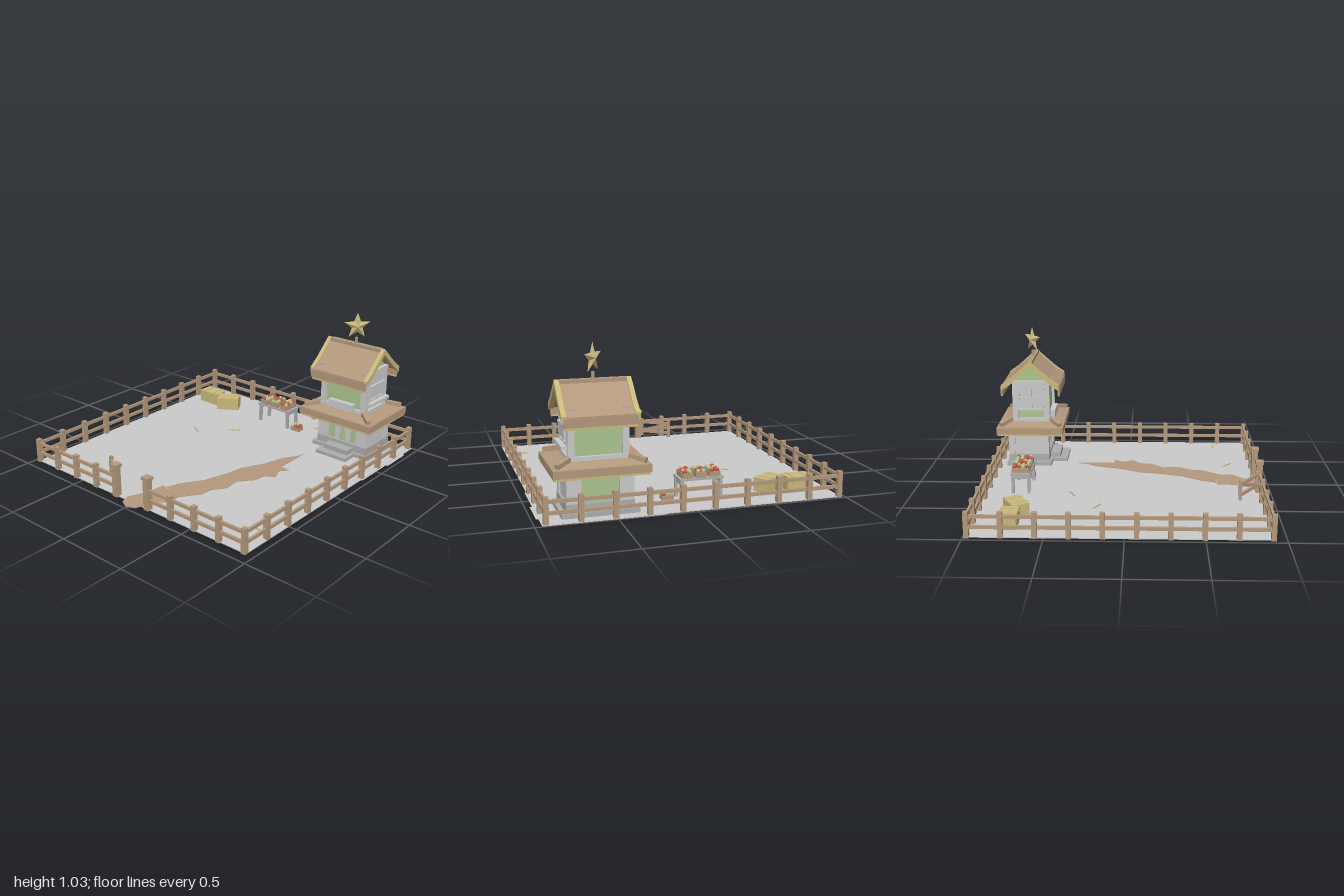
import * as THREE from 'three';

const mat = (name, color) => {
  const m = new THREE.MeshStandardMaterial({ color, flatShading: true });
  m.name = name;
  return m;
};

export function createModel() {
  const brown = mat('brown wood', 0xb3987c);
  const yellow = mat('straw yellow', 0xc9b97c);
  const green = mat('pale green', 0xabc58e);
  const grey = mat('light grey', 0xcacaca);
  const stone = mat('stone grey', 0xadadad);
  const red = mat('apple red', 0xc0564a);
  const root = new THREE.Group();

  const add = (parent, name, geo, material) => {
    const m = new THREE.Mesh(geo, material);
    m.name = name;
    parent.add(m);
    return m;
  };
  const group = (parent, name) => {
    const g = new THREE.Group();
    g.name = name;
    parent.add(g);
    return g;
  };
  // box given by its min and max on each axis
  const box = (p, name, material, x0, x1, y0, y1, z0, z1) => {
    const m = add(p, name, new THREE.BoxGeometry(x1 - x0, y1 - y0, z1 - z0), material);
    m.position.set((x0 + x1) / 2, (y0 + y1) / 2, (z0 + z1) / 2);
    return m;
  };
  // bar of w by h between two points
  const beam = (p, name, material, a, b, w, h) => {
    const A = new THREE.Vector3(...a), B = new THREE.Vector3(...b);
    const m = new THREE.Mesh(new THREE.BoxGeometry(w, h, A.distanceTo(B)), material);
    m.name = name;
    m.position.copy(A).add(B).multiplyScalar(0.5);
    m.lookAt(B);
    p.add(m);
    return m;
  };
  const polygon = pts => new THREE.Shape(pts.map(q => new THREE.Vector2(...q)));
  const extrude = (pts, depth) => new THREE.ExtrudeGeometry(polygon(pts), { depth, bevelEnabled: false });

  // Ground
  box(root, 'ground', grey, -0.965, 0.945, 0, 0.006, -0.985, 0.92);
  box(root, 'groundEdgeBack', grey, 0.2, 0.955, 0, 0.004, -0.995, -0.98);
  box(root, 'groundEdgeSide', grey, 0.94, 0.955, 0, 0.004, -0.99, -0.32);
  box(root, 'groundEdgeOuter', grey, 0.95, 0.97, 0, 0.004, -0.86, -0.63);

  // Winding dirt path
  const path = [[0.41, -0.39], [0.4, -0.33], [0.34, -0.24], [0.295, -0.08], [0.215, 0.08], [0.195, 0.2], [0.14, 0.39],
    [0.045, 0.54], [0.02, 0.62], [-0.02, 0.65], [-0.03, 0.76], [-0.085, 0.9], [-0.06, 0.96], [0, 0.99], [0.06, 0.96],
    [0.08, 0.9], [0.1, 0.83], [0.18, 0.76], [0.17, 0.68], [0.26, 0.55], [0.27, 0.46], [0.33, 0.38], [0.32, 0.26],
    [0.4, 0.16], [0.41, 0.08], [0.48, 0.03], [0.44, -0.05], [0.49, -0.11], [0.415, -0.115]];
  const pathGeo = extrude(path, 0.008);
  pathGeo.rotateX(Math.PI / 2);
  add(root, 'path', pathGeo, brown).position.y = 0.01;

  // Fence runs: square posts with two rails
  const fence = group(root, 'fence');
  const run = (x0, z0, x1, z1, n, skipFirst, skipLast) => {
    for (let i = skipFirst; i <= n - skipLast; i++) {
      const x = x0 + (x1 - x0) * i / n, z = z0 + (z1 - z0) * i / n;
      box(fence, 'fencePost', brown, x - 0.016, x + 0.016, 0, 0.172, z - 0.016, z + 0.016);
    }
    for (const y of [0.07, 0.14]) beam(fence, 'fenceRail', brown, [x0, y, z0], [x1, y, z1], 0.016, 0.022);
  };
  run(-0.96, -0.975, 0.93, -0.975, 9, 0, 0);
  run(-0.96, -0.975, -0.96, 0.915, 9, 1, 0);
  run(0.93, -0.975, 0.93, 0.915, 9, 1, 0);
  run(-0.96, 0.915, -0.16, 0.915, 4, 1, 1);
  run(0.13, 0.915, 0.93, 0.915, 4, 1, 1);
  for (const x of [-0.16, 0.13]) {
    box(fence, 'gatePost', brown, x - 0.021, x + 0.021, 0, 0.215, 0.894, 0.936);
    box(fence, 'gatePostCap', brown, x - 0.028, x + 0.028, 0.215, 0.235, 0.887, 0.943);
  }
  // Open gate
  const gate = group(root, 'gate');
  const gp = (t, y) => [-0.175 - 0.205 * t, y, 0.905 - 0.145 * t];
  for (const y of [0.065, 0.14]) beam(gate, 'gateRail', brown, gp(0, y), gp(1, y), 0.016, 0.022);
  beam(gate, 'gateBrace', brown, gp(0.05, 0.07), gp(0.95, 0.135), 0.012, 0.018);
  for (const t of [0.06, 0.96]) {
    const [x, , z] = gp(t, 0);
    box(gate, 'gateUpright', brown, x - 0.011, x + 0.011, 0.03, 0.168, z - 0.011, z + 0.011);
  }

  // Loose straws and hay bales
  for (const [x0, z0, x1, z1] of [[0.21, -0.82, 0.3, -0.79], [-0.28, -0.36, -0.2, -0.405], [-0.505, -0.22, -0.425, -0.175],
    [-0.02, 0.635, 0.07, 0.655], [0.345, 0.71, 0.415, 0.77], [0.775, 0.655, 0.87, 0.67]])
    beam(root, 'straw', yellow, [x0, 0.013, z0], [x1, 0.013, z1], 0.01, 0.006);
  const bale = (x, z, turn) => {
    const g = group(root, 'hayBale');
    box(g, 'bale', yellow, -0.087, 0.087, 0, 0.097, -0.058, 0.058);
    for (const s of [-0.045, 0.045]) box(g, 'baleTie', yellow, s - 0.004, s + 0.004, 0.002, 0.1, -0.061, 0.061);
    g.position.set(x, 0.002, z);
    g.rotation.y = turn;
  };
  bale(-0.773, -0.74, 0);
  bale(-0.585, -0.72, 0.53);

  // Market table with crates of fruit
  const table = group(root, 'table');
  box(table, 'tableTop', stone, -0.235, 0.055, 0.138, 0.152, -0.81, -0.67);
  for (const x of [-0.22, 0.04]) {
    for (const z of [-0.795, -0.685]) box(table, 'tableLeg', stone, x - 0.01, x + 0.01, 0, 0.138, z - 0.01, z + 0.01);
    box(table, 'tableSideRail', stone, x - 0.006, x + 0.006, 0.11, 0.138, -0.795, -0.685);
  }
  const fruit = [red, green, yellow, green, red, red, green];
  let count = 0;
  const crate = (x, y, z, w, d, cols, rows, h) => {
    const g = group(root, 'fruitCrate');
    g.position.set(x, y, z);
    box(g, 'crateBase', brown, -w / 2, w / 2, 0, h * 0.6, -d / 2, d / 2);
    for (const s of [-1, 1]) {
      box(g, 'crateSide', brown, s * w / 2 - 0.003, s * w / 2 + 0.003, 0, h, -d / 2, d / 2);
      box(g, 'crateEnd', brown, -w / 2, w / 2, 0, h, s * d / 2 - 0.003, s * d / 2 + 0.003);
    }
    for (let i = 0; i < cols; i++) for (let j = 0; j < rows; j++) {
      const m = add(g, 'apple', new THREE.IcosahedronGeometry(0.015, 1), fruit[(count++ * 3 + j) % 7]);
      m.position.set(((i + 0.5) / cols - 0.5) * w, h + 0.006, ((j + 0.5) / rows - 0.5) * d);
    }
  };
  for (const x of [-0.18, -0.09, 0]) crate(x, 0.152, -0.74, 0.068, 0.12, 2, 4, 0.033);
  crate(0.112, 0.006, -0.712, 0.074, 0.055, 3, 2, 0.028);

  // House, built around its own centre
  const house = group(root, 'house');
  house.position.set(0.587, 0, -0.738);
  box(house, 'foundation', stone, -0.24, 0.24, 0, 0.035, -0.187, 0.15);
  box(house, 'plinth', stone, -0.21, 0.21, 0.035, 0.088, -0.175, 0.13);
  box(house, 'lowerStep', stone, -0.13, 0.125, 0, 0.03, 0.14, 0.262);
  box(house, 'upperStep', stone, -0.1, 0.1, 0.03, 0.065, 0.12, 0.205);

  // Lower storey: green front and back, grey ends and pillars
  box(house, 'lowerWalls', green, -0.17, 0.17, 0.08, 0.26, -0.155, 0.108);
  for (const s of [-1, 1]) {
    box(house, 'lowerEndWall', grey, s * 0.18 - 0.015, s * 0.18 + 0.015, 0.08, 0.26, -0.155, 0.105);
    for (const z of [-0.15, 0.105])
      box(house, 'lowerPillar', grey, s * 0.162 - 0.045, s * 0.162 + 0.045, 0.08, 0.26, z - 0.023, z + 0.023);
    // door leaves leaving a tapering gap
    const leaf = add(house, 'doorLeaf', extrude(s > 0
      ? [[0.03, 0.088], [0.065, 0.088], [0.065, 0.25], [0.005, 0.25]]
      : [[-0.065, 0.088], [-0.03, 0.088], [-0.005, 0.25], [-0.065, 0.25]], 0.009), grey);
    leaf.position.z = 0.108;
  }

  // Skirt roof between the storeys, with corner logs
  box(house, 'skirtTrim', yellow, -0.292, 0.292, 0.255, 0.272, -0.243, 0.238);
  box(house, 'skirtEave', brown, -0.298, 0.298, 0.27, 0.318, -0.25, 0.244);
  const slope = new THREE.CylinderGeometry(0.2 * Math.SQRT2, 0.28 * Math.SQRT2, 0.022, 4, 1);
  slope.rotateY(Math.PI / 4);
  slope.scale(1, 1, 0.82);
  add(house, 'skirtSlope', slope, brown).position.y = 0.328;
  for (const sx of [-1, 1]) for (const sz of [-1, 1])
    beam(house, 'cornerLog', brown, [sx * 0.27, 0.337, sz * 0.22], [sx * 0.185, 0.36, sz * 0.15], 0.032, 0.028);

  // Upper storey
  box(house, 'upperSill', grey, -0.19, 0.19, 0.33, 0.365, -0.142, 0.142);
  box(house, 'upperWalls', green, -0.165, 0.165, 0.36, 0.65, -0.12, 0.12);
  for (const s of [-1, 1]) {
    for (const z of [-0.118, 0.118])
      box(house, 'upperPost', grey, s * 0.167 - 0.021, s * 0.167 + 0.021, 0.36, 0.64, z - 0.021, z + 0.021);
    box(house, 'endBeam', grey, s * 0.17 - 0.023, s * 0.17 + 0.023, 0.63, 0.652, -0.14, 0.14);
    box(house, 'sideWindowPanel', grey, s * 0.17 - 0.01, s * 0.17 + 0.01, 0.43, 0.632, -0.105, 0.105);
    for (const z of [-0.095, 0, 0.095])
      box(house, 'windowUpright', grey, s * 0.184 - 0.008, s * 0.184 + 0.008, 0.43, 0.625, z - 0.008, z + 0.008);
    for (const y of [0.435, 0.53, 0.62])
      box(house, 'windowBar', grey, s * 0.184 - 0.007, s * 0.184 + 0.007, y - 0.007, y + 0.007, -0.1, 0.1);
    box(house, 'frontBackBeam', grey, -0.17, 0.17, 0.61, 0.64, s * 0.125 - 0.015, s * 0.125 + 0.015);
  }
  box(house, 'windowLedge', grey, 0.17, 0.225, 0.408, 0.43, -0.122, 0.122);
  box(house, 'windowShutter', grey, 0.185, 0.202, 0.47, 0.55, -0.1, 0.1);
  box(house, 'balconyPanel', grey, -0.105, 0.1, 0.348, 0.405, 0.13, 0.17);

  // Curved gable roof, ridge along x
  const xProfile = (pts, name, material, x0, x1) => {
    const g = extrude(pts, x1 - x0);
    g.rotateY(Math.PI / 2);
    add(house, name, g, material).position.x = x0;
  };
  const half = [[0.215, 0.622], [0.145, 0.672], [0.072, 0.737]];
  const roofPts = (up, down) => {
    const line = d => [...half.map(([z, y]) => [z, y + d]), [0, 0.803 + d],
      ...half.slice().reverse().map(([z, y]) => [-z, y + d])];
    return [...line(up), ...line(-down).reverse()];
  };
  xProfile([[-0.13, 0.65], [0.13, 0.65], [0, 0.78]], 'gableWall', green, -0.165, 0.165);
  xProfile(roofPts(0, 0.028), 'roofSlab', brown, -0.208, 0.208);
  for (const s of [-1, 1]) {
    xProfile(roofPts(0.008, 0.034), 'bargeBoard', yellow, s * 0.222 - 0.015, s * 0.222 + 0.015);
    box(house, 'eaveBoard', brown, -0.225, 0.225, 0.56, 0.615, s * 0.212 - 0.008, s * 0.212 + 0.008);
    box(house, 'eaveTrim', yellow, -0.22, 0.22, 0.545, 0.56, s * 0.212 - 0.006, s * 0.212 + 0.006);
    for (const x of [-0.165, 0.165])
      beam(house, 'roofPeg', stone, [x - 0.02, 0.657, s * 0.167], [x + 0.02, 0.657, s * 0.167], 0.01, 0.01);
  }
  box(house, 'ridgeBeam', brown, -0.208, 0.208, 0.785, 0.808, -0.02, 0.02);

  // Faceted star on its pole
  box(house, 'starPole', brown, -0.008, 0.008, 0.8, 0.85, -0.008, 0.008);
  const rim = [], verts = [];
  for (let i = 0; i < 10; i++) {
    const r = i % 2 ? 0.042 : 0.098, a = Math.PI / 2 + i * Math.PI / 5;
    rim.push([r * Math.cos(a), r * Math.sin(a), 0]);
  }
  for (let i = 0; i < 10; i++) {
    const a = rim[i], b = rim[(i + 1) % 10];
    verts.push(0, 0, 0.026, ...a, ...b, 0, 0, -0.026, ...b, ...a);
  }
  const starGeo = new THREE.BufferGeometry();
  starGeo.setAttribute('position', new THREE.Float32BufferAttribute(verts, 3));
  starGeo.computeVertexNormals();
  const star = add(house, 'star', starGeo, yellow);
  star.position.y = 0.932;
  star.rotation.y = Math.PI / 4;

  return root;
}
